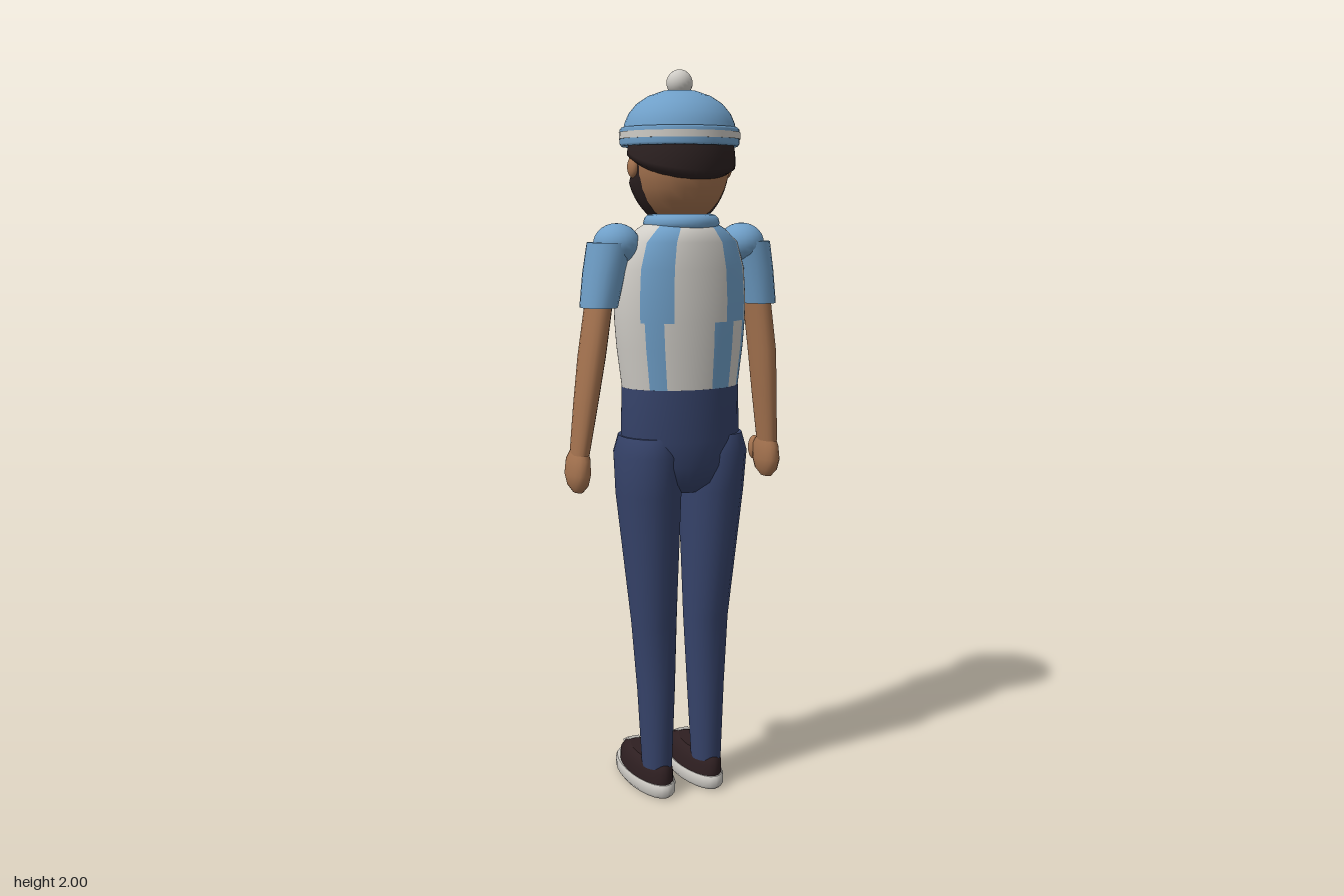
import * as THREE from 'three';

const mat = (name, color) => new THREE.MeshStandardMaterial({ name, color });

export function createModel() {
  const blue = mat('sky blue', 0x6f9fc8), white = mat('off white', 0xcfccc6), navy = mat('navy', 0x36436a);
  const skin = mat('skin', 0xa67450), hair = mat('dark hair', 0x2c2121), shoe = mat('dark shoe', 0x2e1f21);
  const model = new THREE.Group();
  model.name = 'standingFigure';

  const add = (name, geometry, material, x = 0, y = 0, z = 0) => {
    const m = new THREE.Mesh(geometry, material);
    m.name = name;
    m.position.set(x, y, z);
    model.add(m);
    return m;
  };

  const build = (pos, index) => {
    const g = new THREE.BufferGeometry();
    g.setAttribute('position', new THREE.Float32BufferAttribute(pos, 3));
    g.setIndex(index);
    return g;
  };

  // Capped loft through elliptical rings [y, cx, cz, rx, rz], listed from top to bottom.
  // rule(u, y, isBack) picks the material slot of each side face.
  function loft(rings, n = 20, side = 1, rule = null) {
    const pos = [], faces = [[], []];
    const ring = ([y, cx, cz, rx, rz]) => {
      for (let i = 0; i < n; i++) {
        const a = i / n * Math.PI * 2;
        pos.push(side * cx + rx * Math.sin(a), y, cz + rz * Math.cos(a));
      }
    };
    rings.forEach(ring);
    for (let r = 0; r < rings.length - 1; r++) for (let i = 0; i < n; i++) {
      const j = (i + 1) % n, a = r * n, c = a + n, t = (i + 0.5) / n * Math.PI * 2;
      const slot = rule ? rule(Math.sin(t), (rings[r][0] + rings[r + 1][0]) / 2, Math.cos(t) > 0) : 0;
      faces[slot].push(c + i, c + j, a + j, c + i, a + j, a + i);
    }
    for (const top of [true, false]) {
      const s = top ? rings[0] : rings[rings.length - 1], base = pos.length / 3;
      ring(s);
      pos.push(side * s[1], s[0], s[2]);
      for (let i = 0; i < n; i++) {
        const p = base + i, q = base + (i + 1) % n;
        faces[0].push(base + n, top ? p : q, top ? q : p);
      }
    }
    const g = build(pos, faces.flat());
    g.addGroup(0, faces[0].length, 0);
    g.addGroup(faces[0].length, faces[1].length, 1);
    g.computeVertexNormals();
    return g;
  }

  // Shell over the head between two latitudes; its rim tucks into the skin.
  const head = { y: 1.76, z: 0.03, rx: 0.136, ry: 0.165, rz: 0.135 };
  function headPatch(centre, half, top, bottom, scale) {
    const cols = 28, rows = 10, pos = [], idx = [], w = cols + 1;
    for (let r = 0; r <= rows; r++) for (let c = 0; c <= cols; c++) {
      const b = (c / cols * 2 - 1) * half, a = centre + b;
      const lat = top(b) + (bottom(b) - top(b)) * r / rows;
      const k = r % rows === 0 || c % cols === 0 ? 0.98 : scale;
      pos.push(head.rx * k * Math.cos(lat) * Math.sin(a), head.y + head.ry * k * Math.sin(lat),
        head.z - head.rz * k * Math.cos(lat) * Math.cos(a));
      if (r < rows && c < cols) {
        const p = r * w + c, q = p + w;
        idx.push(q + 1, q, p, q + 1, p, p + 1);
      }
    }
    const g = build(pos, idx);
    g.computeVertexNormals();
    return g;
  }

  const ball = (name, material, x, y, z, rx, ry = rx, rz = rx) => {
    const m = add(name, new THREE.SphereGeometry(1, 20, 14), material, x, y, z);
    m.scale.set(rx, ry, rz);
    return m;
  };

  // Striped shirt
  const inside = (u, a, b) => u > a && u < b;
  const stripes = (u, y, isBack) => {
    let isBlue;
    if (isBack && y > 1.34) isBlue = inside(u, -0.8, -0.36) || inside(u, 0.44, 0.86);
    else if (isBack) isBlue = inside(u, -0.74, -0.52) || inside(u, 0.25, 0.6) || inside(u, 0.8, 0.97);
    else isBlue = inside(u, -0.76, 0.08) && !(y < 1.27 && inside(u, -0.5, 0)) || inside(u, 0.72, 0.9);
    return isBlue ? 0 : 1;
  };
  add('stripedShirt', loft([
    [1.61, 0, 0.04, 0.08, 0.075], [1.585, 0, 0.04, 0.12, 0.105], [1.55, 0, 0.037, 0.16, 0.12],
    [1.48, 0, 0.035, 0.182, 0.127], [1.4, 0, 0.035, 0.187, 0.13], [1.34, 0, 0.035, 0.186, 0.13],
    [1.27, 0, 0.035, 0.18, 0.129], [1.16, 0, 0.035, 0.165, 0.125]], 80, 1, stripes), [blue, white]);

  // Trousers
  add('trouserHips', loft([
    [1.162, 0, 0.035, 0.166, 0.126], [1.02, 0, 0.035, 0.17, 0.126], [0.95, 0, 0.035, 0.15, 0.12],
    [0.9, 0, 0.035, 0.11, 0.1], [0.87, 0, 0.035, 0.06, 0.06]], 32), navy);

  for (const s of [1, -1]) {
    const side = s > 0 ? 'left' : 'right';
    add(side + 'TrouserLeg', loft([
      [1.03, 0.1, 0.035, 0.075, 0.1], [0.98, 0.1, 0.035, 0.088, 0.118], [0.87, 0.095, 0.032, 0.088, 0.108],
      [0.5, 0.08, 0.035, 0.064, 0.064], [0.3, 0.077, 0.042, 0.053, 0.055],
      [0.08, 0.077, 0.047, 0.042, 0.048]], 20, s), navy);

    // Shoes
    add(side + 'ShoeSole', loft([
      [0.04, 0.076, -0.042, 0.059, 0.157], [0.03, 0.076, -0.042, 0.063, 0.163],
      [0.01, 0.076, -0.042, 0.062, 0.162], [0, 0.076, -0.042, 0.055, 0.15]], 24, s), white);
    add(side + 'ShoeUpper', loft([
      [0.1, 0.077, -0.02, 0.036, 0.09], [0.092, 0.077, -0.025, 0.046, 0.12],
      [0.07, 0.077, -0.03, 0.056, 0.138], [0.038, 0.076, -0.032, 0.057, 0.142]], 24, s), shoe);
    const patch = add(side + 'ShoeToePatch', new THREE.BoxGeometry(0.034, 0.008, 0.045), white, s * 0.08, 0.091, -0.133);
    patch.rotation.x = -0.5;

    // Arms
    ball(side + 'Shoulder', blue, s * 0.185, 1.545, 0.035, 0.062, 0.055, 0.066);
    add(side + 'Sleeve', loft([
      [1.55, 0.205, 0.035, 0.06, 0.065], [1.47, 0.222, 0.033, 0.055, 0.066],
      [1.38, 0.237, 0.033, 0.049, 0.063]], 18, s), blue);
    add(side + 'Arm', loft([
      [1.42, 0.232, 0.032, 0.034, 0.055], [1.25, 0.256, 0.028, 0.034, 0.057],
      [1.12, 0.271, 0.018, 0.03, 0.051], [0.985, 0.286, 0.008, 0.024, 0.043]], 18, s), skin);
    add(side + 'Hand', loft([
      [1.0, 0.286, 0.005, 0.02, 0.034], [0.97, 0.287, 0, 0.03, 0.054], [0.93, 0.289, -0.001, 0.032, 0.058],
      [0.9, 0.289, 0, 0.026, 0.047], [0.88, 0.289, 0, 0.012, 0.024]], 16, s), skin);
    ball(side + 'Thumb', skin, s * 0.275, 0.955, -0.046, 0.018, 0.035, 0.02);

    // Paired face parts
    ball(side + 'Ear', skin, s * 0.137, 1.745, 0.035, 0.014, 0.028, 0.022);
    ball(side + 'Eye', hair, s * 0.05, 1.755, -0.097, 0.013, 0.013, 0.006).rotation.y = s * 0.4;
    ball(side + 'Eyebrow', hair, s * 0.052, 1.785, -0.094, 0.026, 0.007, 0.008).rotation.y = -s * 0.4;
    const tache = ball(side + 'Moustache', hair, s * 0.024, 1.713, -0.104, 0.028, 0.008, 0.009);
    tache.rotation.set(0, -s * 0.2, -s * 0.2);
  }

  // Head
  add('neck', loft([[1.67, 0, 0.04, 0.06, 0.06], [1.58, 0, 0.04, 0.065, 0.065]]), skin);
  ball('head', skin, 0, head.y, head.z, head.rx, head.ry, head.rz);
  ball('nose', skin, 0, 1.74, -0.107, 0.014, 0.017, 0.016);
  add('beard', headPatch(0, 1.8, b => -0.4 + 0.12 * b * b, () => -1.35, 1.05), hair);
  add('backHair', headPatch(Math.PI, 1.75, () => 0.55, b => -0.3 + 0.13 * b * b, 1.1), hair);

  // Hat
  const lathe = pts => new THREE.LatheGeometry(pts.map(p => new THREE.Vector2(...p)), 40);
  add('hatDome', lathe([[0.152, 1.835], [0.147, 1.86], [0.136, 1.885], [0.115, 1.91], [0.085, 1.93],
    [0.045, 1.944], [0, 1.948]]), blue, 0, 0, 0.03);
  add('hatBrim', lathe([[0.128, 1.808], [0.155, 1.8], [0.16, 1.807], [0.16, 1.843], [0.155, 1.849],
    [0.13, 1.849], [0.128, 1.808]]), blue, 0, 0, 0.03);
  add('hatStripe', new THREE.CylinderGeometry(0.162, 0.162, 0.018, 40), white, 0, 1.828, 0.03);
  ball('pompom', white, 0, 1.965, 0.03, 0.035);

  // Scarf
  const wrap = add('scarfWrap', new THREE.TorusGeometry(0.079, 0.024, 12, 36), blue, 0, 1.6, 0.042);
  wrap.rotation.x = Math.PI / 2;
  const piece = (y0, y1, r) => {
    const z = y => -0.1 - (1.6 - y) * 0.05;
    return loft([[y0, 0.07, z(y0), r * 0.75, r * 0.75], [y0 - 0.01, 0.07, z(y0), r, r],
      [y1 + 0.01, 0.07, z(y1), r, r], [y1, 0.07, z(y1), r * 0.75, r * 0.75]], 14);
  };
  [[1.605, 1.475], [1.46, 1.36], [1.345, 1.28]].forEach(([a, b]) => add('scarfTail', piece(a, b, 0.025), blue));
  [[1.482, 1.453], [1.367, 1.338]].forEach(([a, b]) => add('scarfStripe', piece(a, b, 0.024), white));

  return model;
}
